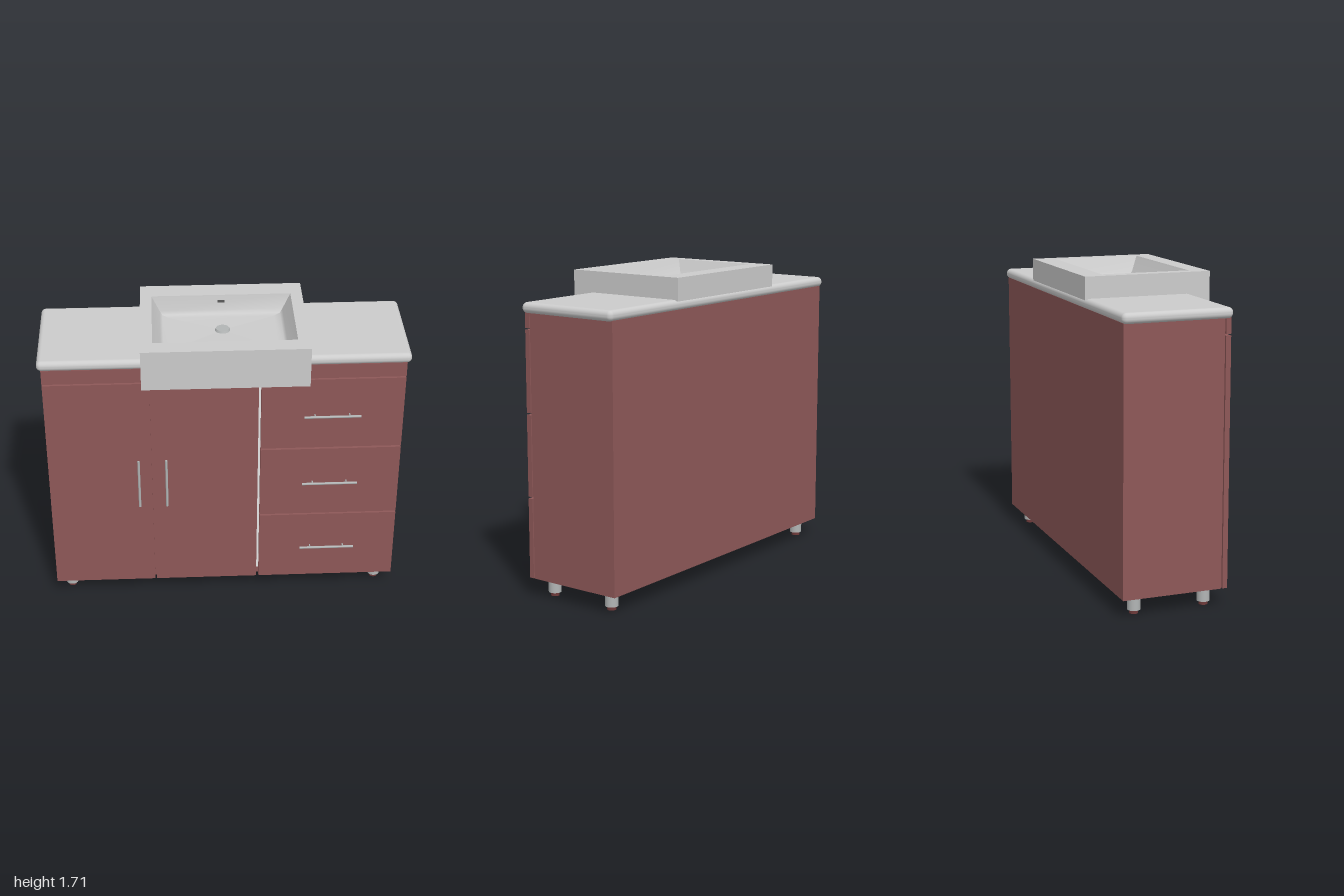
import * as THREE from 'three';
import { RoundedBoxGeometry } from 'three/addons/geometries/RoundedBoxGeometry.js';

const mat = (name, color, side = THREE.FrontSide) => {
  const m = new THREE.MeshStandardMaterial({ color, side });
  m.name = name;
  return m;
};

export function createModel() {
  const wood = mat('red brown wood', 0x8e5858);
  const ceramic = mat('light grey ceramic', 0xcccccc);
  const metal = mat('brushed metal', 0xb2b5b5);
  const rubber = mat('dark red foot', 0x6e3a3a);
  const inner = mat('white carcass edge', 0xffffff);
  const dark = mat('dark grey opening', 0x555555);

  const model = new THREE.Group();
  model.name = 'vanityCabinet';
  const add = (name, geometry, material, x = 0, y = 0, z = 0) => {
    const mesh = new THREE.Mesh(geometry, material);
    mesh.name = name;
    mesh.position.set(x, y, z);
    model.add(mesh);
    return mesh;
  };
  // Box given by its limits on each axis
  const box = (name, material, x0, x1, y0, y1, z0, z1) =>
    add(name, new THREE.BoxGeometry(x1 - x0, y1 - y0, z1 - z0), material,
      (x0 + x1) / 2, (y0 + y1) / 2, (z0 + z1) / 2);

  // Carcass, top rail, doors and drawer fronts
  box('carcass', wood, -0.978, 0.976, 0.1, 1.54, -0.347, 0.206);
  const front = (name, x0, x1, y0, y1) => box(name, wood, x0, x1, y0, y1, 0.212, 0.24);
  front('topRail', -0.978, 0.976, 1.455, 1.54);
  front('leftDoor', -0.978, -0.406, 0.1, 1.446);
  front('rightDoor', -0.398, 0.183, 0.1, 1.446);
  const drawers = [[0.1, 0.54], [0.55, 0.994], [1.005, 1.446]];
  drawers.forEach(([y0, y1]) => front('drawerFront', 0.197, 0.976, y0, y1));

  // Pale strips showing in the gaps around the drawers
  box('gapStrip', inner, 0.18, 0.2, 0.14, 1.446, 0.206, 0.209);
  for (const y of [0.545, 1.0]) box('gapStrip', inner, 0.2, 0.94, y - 0.01, y + 0.01, 0.206, 0.209);

  // Bar handles on two posts
  const handle = (x, y, vertical) => {
    const g = new THREE.Group();
    g.name = 'handle';
    const bar = new THREE.Mesh(new THREE.CylinderGeometry(0.007, 0.007, 0.31, 12), metal);
    bar.name = 'handleBar';
    g.add(bar);
    for (const s of [-1, 1]) {
      const post = new THREE.Mesh(new THREE.CylinderGeometry(0.004, 0.004, 0.03, 8), metal);
      post.name = 'handlePost';
      post.rotation.x = Math.PI / 2;
      post.position.set(0, s * 0.095, -0.015);
      g.add(post);
    }
    if (!vertical) g.rotation.z = Math.PI / 2;
    g.position.set(x, y, 0.268);
    model.add(g);
  };
  handle(-0.478, 0.805, true);
  handle(-0.325, 0.805, true);
  for (const y of [0.32, 0.775, 1.222]) handle(0.585, y, false);

  // Legs with small feet
  for (const x of [-0.897, 0.89]) for (const z of [0.138, -0.257]) {
    add('leg', new THREE.CylinderGeometry(0.035, 0.035, 0.08, 24), metal, x, 0.06, z);
    add('foot', new THREE.CylinderGeometry(0.024, 0.024, 0.022, 24), rubber, x, 0.011, z);
  }

  // Countertop with rounded edges
  add('countertop', new RoundedBoxGeometry(2, 0.057, 0.604, 5, 0.026), ceramic, 0, 1.564, -0.055);

  // Basin rim with an opening, and the apron hanging over the front
  const rect = (s, x0, x1, y0, y1) =>
    s.moveTo(x0, y0).lineTo(x1, y0).lineTo(x1, y1).lineTo(x0, y1).closePath();
  const rim = new THREE.Shape();
  rect(rim, -0.447, 0.447, -0.357, 0.357);
  const hole = new THREE.Path();
  rect(hole, -0.383, 0.383, -0.26, 0.24);
  rim.holes.push(hole);
  const rimGeo = new THREE.ExtrudeGeometry(rim, { depth: 0.125, bevelEnabled: false });
  rimGeo.rotateX(-Math.PI / 2);
  add('basinRim', rimGeo, ceramic, 0, 1.585, 0);
  box('basinApron', ceramic, -0.447, 0.447, 1.48, 1.585, 0.25, 0.357);

  // Bowl: rings of [height, half width, back z, front z], one smooth strip per wall
  const rings = [
    [1.71, 0.383, -0.24, 0.26],
    [1.625, 0.34, -0.225, 0.215],
    [1.61, 0.325, -0.205, 0.195],
    [1.605, 0.29, -0.18, 0.165],
    [1.601, 0, -0.045, -0.045],
  ];
  const corner = ([y, w, back, frontZ], k) =>
    [[-w, y, frontZ], [w, y, frontZ], [w, y, back], [-w, y, back]][k % 4];
  const pos = [], index = [];
  for (let k = 0; k < 4; k++) {
    const base = pos.length / 3;
    rings.forEach((r, i) => {
      pos.push(...corner(r, k), ...corner(r, k + 1));
      const a = base + i * 2;
      if (i < rings.length - 1) index.push(a, a + 1, a + 3, a, a + 3, a + 2);
    });
  }
  const bowl = new THREE.BufferGeometry();
  bowl.setAttribute('position', new THREE.Float32BufferAttribute(pos, 3));
  bowl.setIndex(index);
  bowl.computeVertexNormals();
  add('bowl', bowl, ceramic);

  // Drain and overflow slot
  add('drain', new THREE.CylinderGeometry(0.036, 0.042, 0.012, 32), metal, 0, 1.607, -0.045);
  const slot = add('overflowSlot', new THREE.BoxGeometry(0.04, 0.013, 0.006), dark, 0, 1.675, -0.233);
  slot.rotation.x = -0.175;

  return model;
}
